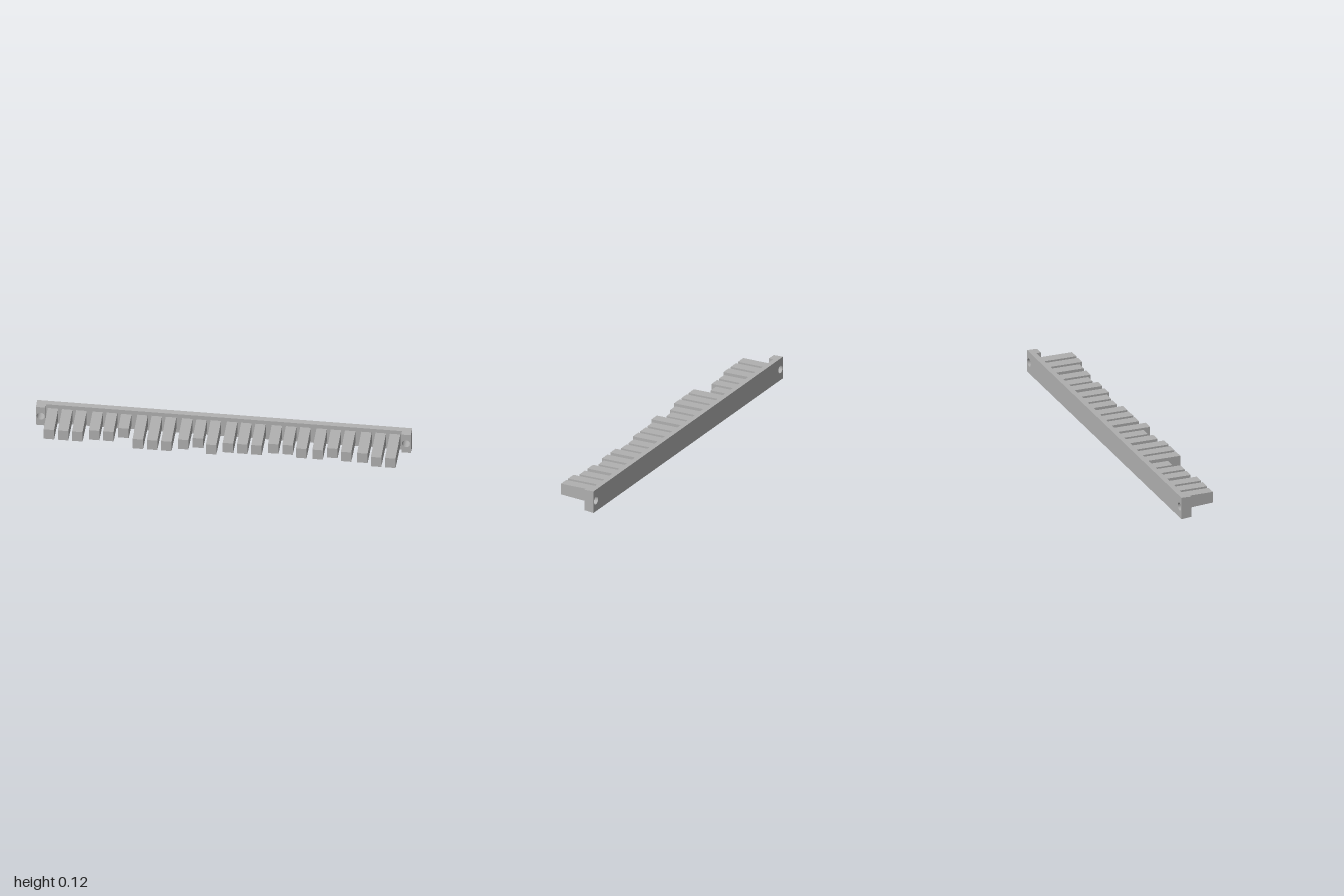
import * as THREE from 'three';

const grey = new THREE.MeshStandardMaterial({ color: 0xb0b0b0 });
grey.name = 'grey plastic';

const MID = 0.0635;            // height of the centre line
const BACK = -0.117, FACE = -0.087, END = -0.06;

// Rectangle with round screw holes, extruded along z, its top and bottom drafted
function draftedSlab(x0, x1, holes, z0, z1, half0, half1) {
  const s = new THREE.Shape();
  s.moveTo(x0, -half0).lineTo(x1, -half0).lineTo(x1, half0).lineTo(x0, half0).closePath();
  for (const x of holes) {
    const h = new THREE.Path();
    h.absarc(x, 0, 0.022, 0, Math.PI * 2, true);
    s.holes.push(h);
  }
  const g = new THREE.ExtrudeGeometry(s, { depth: z1 - z0, bevelEnabled: false, curveSegments: 16 });
  g.translate(0, 0, z0);
  const p = g.attributes.position;
  for (let i = 0; i < p.count; i++) {
    const y = p.getY(i);
    const half = THREE.MathUtils.mapLinear(p.getZ(i), z0, z1, half0, half1);
    if (Math.abs(y) > half0 - 0.001) p.setY(i, Math.sign(y) * half);
  }
  g.computeVertexNormals();
  g.translate(0, MID, 0);
  return g;
}

export function createModel() {
  const group = new THREE.Group();
  const add = (name, geometry) => {
    const m = new THREE.Mesh(geometry, grey);
    m.name = name;
    group.add(m);
  };

  // Long backing plate with a screw hole at each end
  add('backingPlate', draftedSlab(-1, 1, [-0.974, 0.974], BACK, FACE, 0.0625, 0.061));

  // Raised mounting blocks around the holes
  add('leftMountingBlock', draftedSlab(0.949, 1, [0.974], FACE, END, 0.061, 0.059));
  add('rightMountingBlock', draftedSlab(-1, -0.949, [-0.974], FACE, END, 0.061, 0.059));

  // Eight groups of three teeth; each number is how far a tooth reaches forward
  const L = 0.117, M = 0.092, S = 0.07, T = 0.032;
  const reach = [M, M, M, S, S, T, L, L, L, M, S, L, M, M, M, S, S, M, M, S, M, M, L, L];
  reach.forEach((front, i) => {
    const x = -0.836 + Math.floor(i / 3) * 0.2389 + (i % 3 - 1) * 0.076;
    const base = 0.031 + 0.034 * (front - FACE);
    add(`tooth${i + 1}`, draftedSlab(x - 0.028, x + 0.028, [], FACE, front, base, 0.031));
  });
  return group;
}
